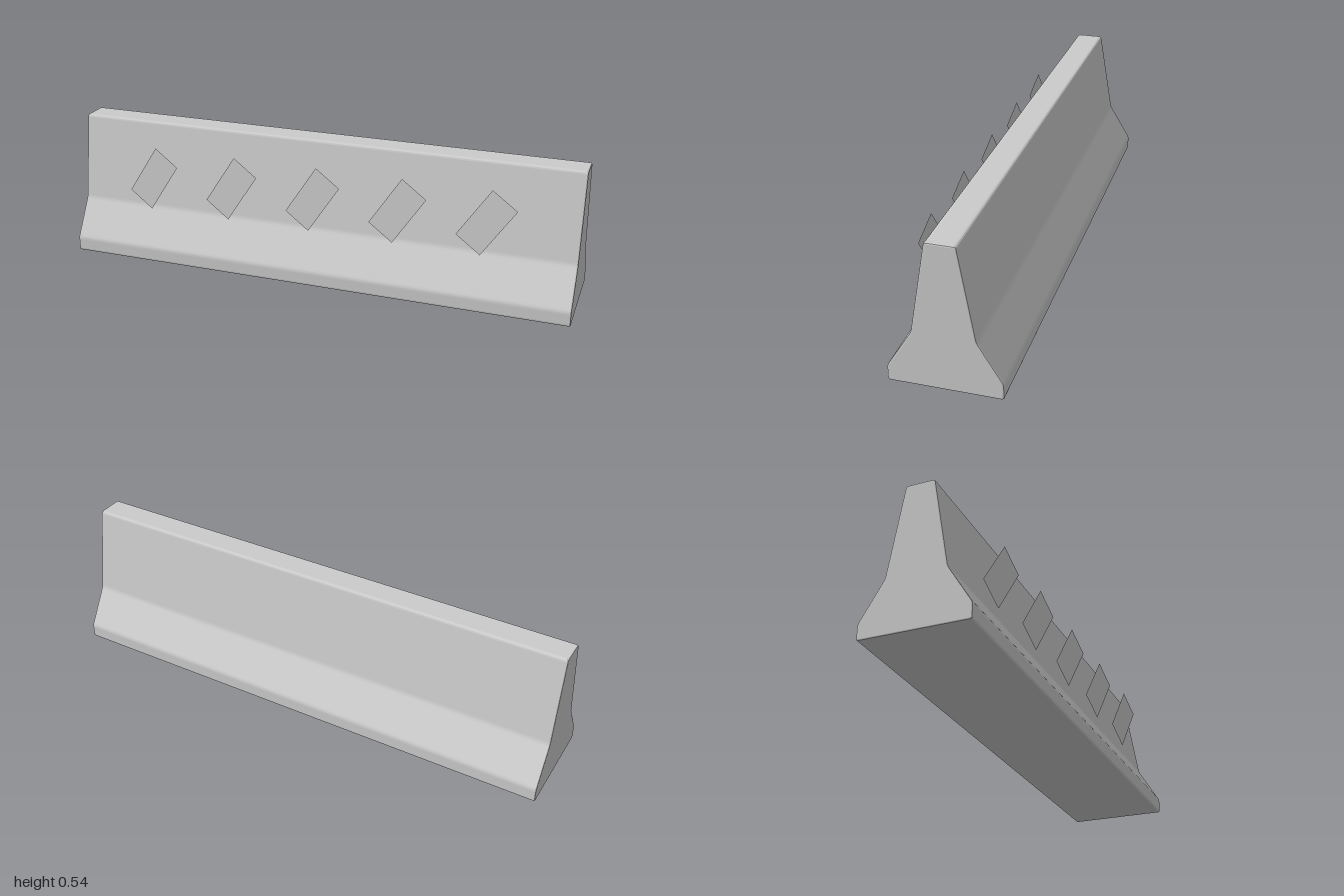
import * as THREE from 'three';

const grey = () => new THREE.MeshStandardMaterial({ color: 0xcccccc });

// Closed outline through the given corners, each softened by a short curve
function roundedOutline(corners, radius) {
  const shape = new THREE.Shape();
  corners.forEach((corner, i) => {
    const before = corners[(i + corners.length - 1) % corners.length];
    const after = corners[(i + 1) % corners.length];
    const a = before.clone().sub(corner).setLength(radius).add(corner);
    const b = after.clone().sub(corner).setLength(radius).add(corner);
    if (i === 0) shape.moveTo(a.x, a.y);
    else shape.lineTo(a.x, a.y);
    shape.quadraticCurveTo(corner.x, corner.y, b.x, b.y);
  });
  shape.closePath();
  return shape;
}

export function createModel() {
  const model = new THREE.Group();
  model.name = 'roadBarrier';

  // Concrete body: mirrored stepped profile, extruded along x
  const half = [[0.2, 0], [0.2, 0.058], [0.111, 0.203], [0.053, 0.541]];
  const right = half.map(([z, y]) => new THREE.Vector2(z, y));
  const left = half.map(([z, y]) => new THREE.Vector2(-z, y)).reverse();
  const bevel = 0.005;
  const bodyGeometry = new THREE.ExtrudeGeometry(roundedOutline([...right, ...left], 0.01), {
    depth: 2 - 2 * bevel,
    curveSegments: 3,
    bevelEnabled: true,
    bevelThickness: bevel,
    bevelSize: bevel,
    bevelOffset: -bevel,
    bevelSegments: 2,
  });
  bodyGeometry.translate(0, 0, -1 + bevel).rotateY(Math.PI / 2);
  const body = new THREE.Mesh(bodyGeometry, grey());
  body.name = 'barrierBody';
  model.add(body);

  // Row of thin slanted marker plates in front of the body
  const plateGeometry = new THREE.PlaneGeometry(0.117, 0.235);
  const plateMaterial = grey();
  plateMaterial.side = THREE.DoubleSide;
  for (let i = -2; i <= 2; i++) {
    const plate = new THREE.Mesh(plateGeometry, plateMaterial);
    plate.name = `markerPlate${i + 3}`;
    plate.position.set(i / 3, 0.335, 0.145);
    plate.rotation.set(0, -0.13, -0.593);
    model.add(plate);
  }

  return model;
}
